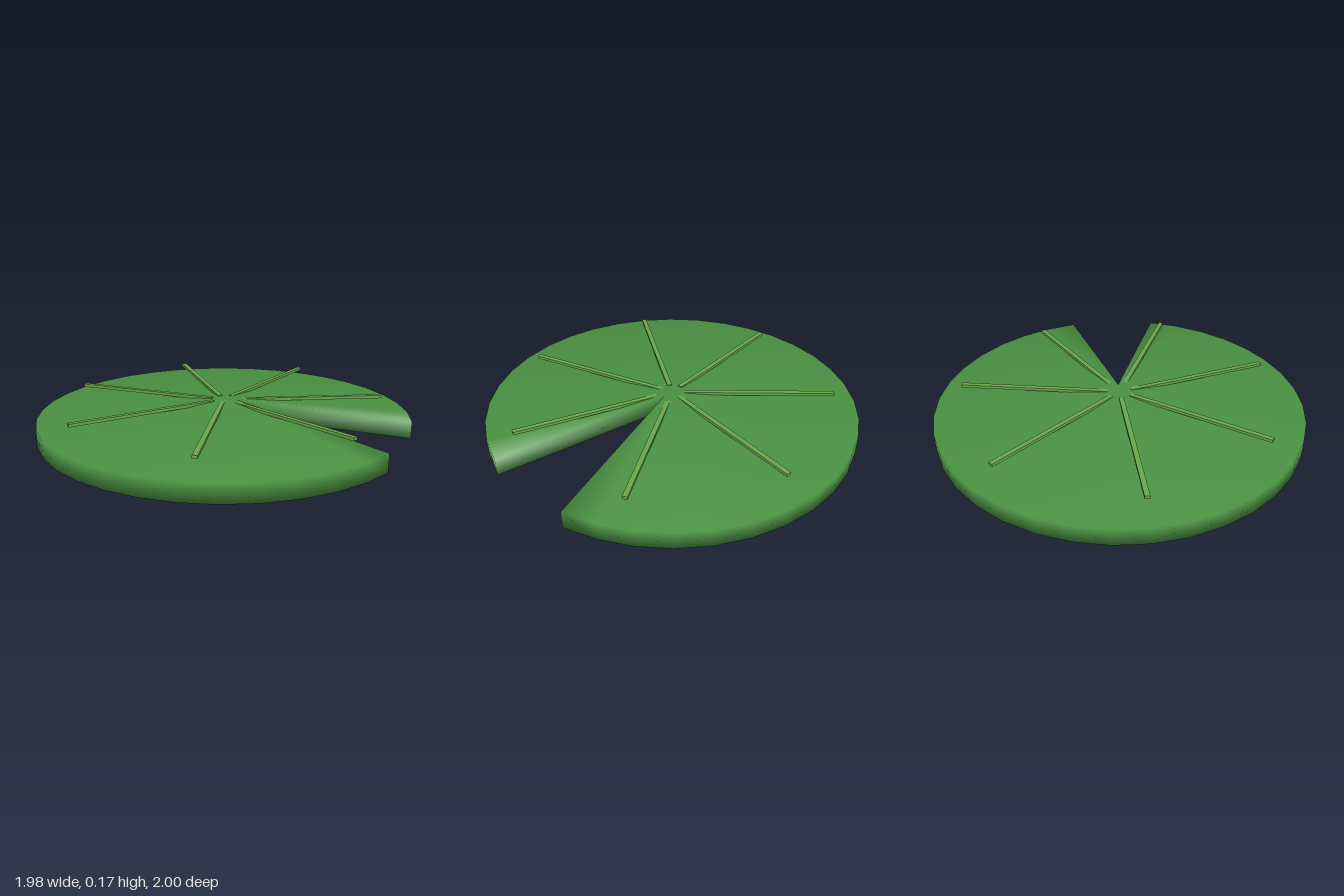
import * as THREE from 'three';

const CX = 0.0075; // recentres the notched disc
const RIM = 0.095; // leaf thickness
const RISE = 0.075; // height of the shallow cone
const STEPS = 33; // ten degrees each, leaving a 30 degree notch

// Notched shallow cone with smooth shared normals
function leafGeometry() {
  const pos = [0.067, RISE + RIM, 0, 0.067, RISE, 0]; // upper and lower notch tip
  const index = [];
  for (let i = 0; i <= STEPS; i++) {
    const a = THREE.MathUtils.degToRad(20 + i * 10);
    const x = CX + Math.cos(a), z = Math.sin(a);
    pos.push(x, RIM, z, x, 0, z);
  }
  for (let i = 0; i < STEPS; i++) {
    const t = 2 + i * 2, b = t + 1, t2 = t + 2, b2 = t + 3;
    index.push(0, t2, t, 1, b, b2); // top and underside
    index.push(t, t2, b, t2, b2, b); // rim
  }
  // Notch walls
  const e = 2 + STEPS * 2;
  index.push(0, 2, 1, 2, 3, 1);
  index.push(0, 1, e, e, 1, e + 1);
  const g = new THREE.BufferGeometry();
  g.setAttribute('position', new THREE.Float32BufferAttribute(pos, 3));
  g.setIndex(index);
  g.computeVertexNormals();
  return g;
}

export function createModel() {
  const model = new THREE.Group();
  model.name = 'lilyPad';

  const leafGreen = new THREE.MeshStandardMaterial({ color: 0x4a9142 });
  leafGreen.name = 'leaf green';
  const veinGreen = new THREE.MeshStandardMaterial({ color: 0x69a84a });
  veinGreen.name = 'vein green';

  const leaf = new THREE.Mesh(leafGeometry(), leafGreen);
  leaf.name = 'leaf';
  model.add(leaf);

  // Seven straight veins radiating from the middle
  const veins = new THREE.Group();
  veins.name = 'veins';
  veins.position.set(CX, 0.158, 0);
  const bar = new THREE.BoxGeometry(0.81, 0.016, 0.026);
  bar.translate(0.47, 0, 0);
  for (let i = 0; i < 7; i++) {
    const vein = new THREE.Mesh(bar, veinGreen);
    vein.name = 'vein';
    vein.rotation.y = ((i + 0.5) / 7) * Math.PI * 2;
    veins.add(vein);
  }
  model.add(veins);
  return model;
}
